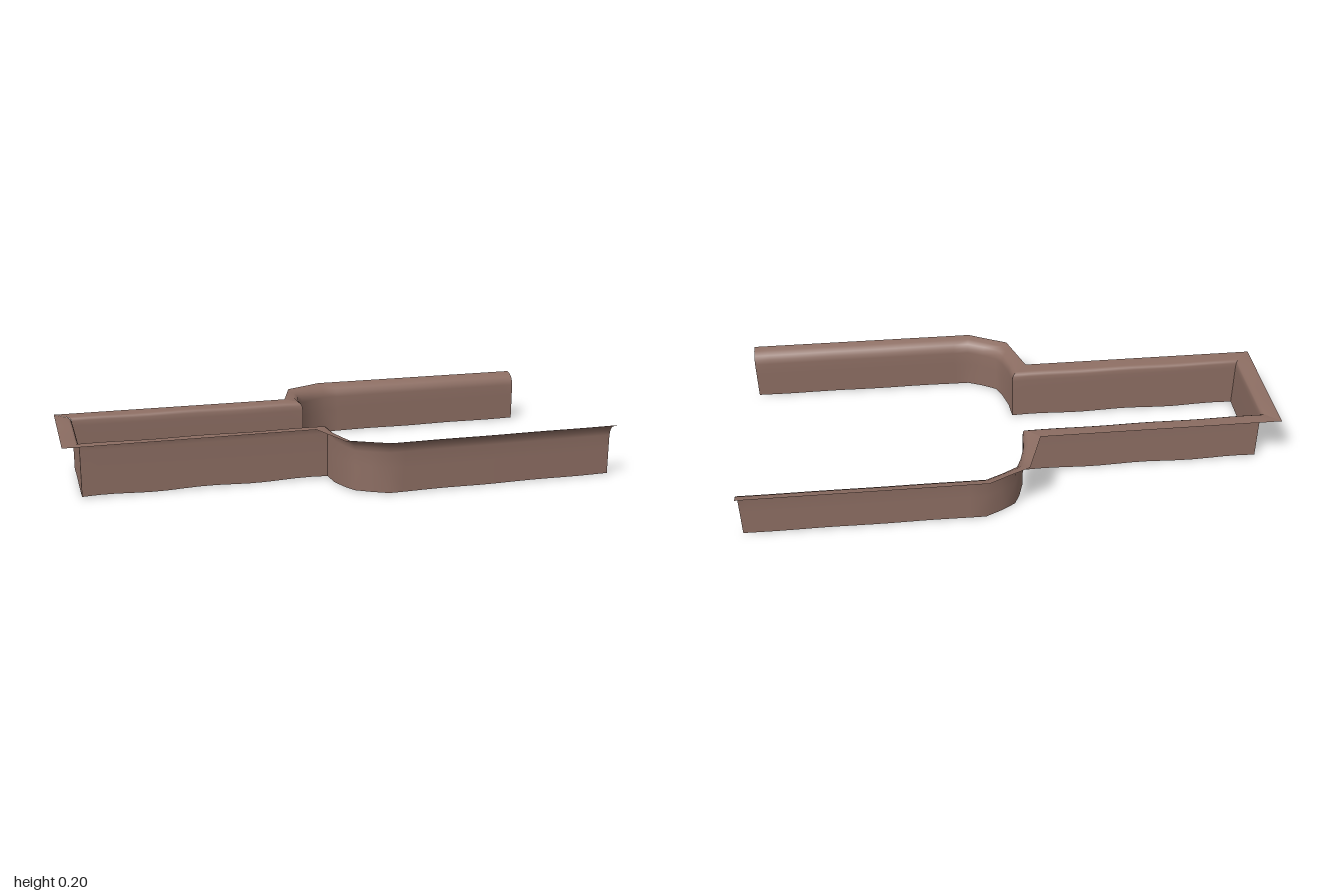
import * as THREE from 'three';

const material = new THREE.MeshStandardMaterial({ color: 0x8d6e63, side: THREE.DoubleSide });

// Wall-to-lip section: [share of lip width, height], soft and tight bends
const soft = [[0, 0.005], [0, 0.1], [0, 0.155], [0.08, 0.173], [0.24, 0.188], [0.55, 0.2], [1, 0.205]];
const tight = [[0, 0.005], [0, 0.1], [0, 0.175], [0.02, 0.192], [0.07, 0.2], [0.2, 0.205], [1, 0.207]];

// Stations are [wall x, wall z, lip x, lip z, softness]; each run is smooth within itself
const endRun = [[-0.937, -0.178, -1, -0.24, 0], [-0.937, 0.178, -1, 0.24, 0]];
const narrowRun = [[-0.937, 0.178, -1, 0.24, 0], [-0.03, 0.178, -0.09, 0.24, 0.2]];
const flareRun = [
  [-0.03, 0.178, -0.09, 0.24, 0.2],
  [-0.023, 0.255, -0.065, 0.313, 0.6],
  [-0.003, 0.325, -0.043, 0.377, 0.8],
  [0.018, 0.37, -0.03, 0.414, 1],
  [0.07, 0.402, 0.045, 0.45, 1],
  [0.13, 0.43, 0.12, 0.488, 1],
  [1, 0.43, 1, 0.488, 1],
];

function skirt(name, run, side = 1) {
  // Subdivide long spans so the edges can undulate slightly
  const stations = [run[0]];
  for (let i = 1; i < run.length; i++) {
    const a = run[i - 1], b = run[i];
    const n = Math.max(1, Math.round(Math.hypot(b[0] - a[0], b[1] - a[1]) / 0.06));
    for (let k = 1; k <= n; k++) {
      stations.push(a.map((v, j) => THREE.MathUtils.lerp(v, b[j], k / n)));
    }
  }
  const positions = [], indices = [], m = soft.length;
  stations.forEach(([wx, wz, lx, lz, s], i) => {
    const wave = 0.003 * Math.sin(wx * 17 + wz * 20) * (1 - 0.7 * s);
    soft.forEach((p, j) => {
      const t = THREE.MathUtils.lerp(tight[j][0], p[0], s);
      const y = THREE.MathUtils.lerp(tight[j][1], p[1], s);
      const ripple = j === 0 ? wave : j === m - 1 ? 0 : j > 2 ? wave * 0.4 : 0;
      positions.push(wx + (lx - wx) * t, y + ripple, side * (wz + (lz - wz) * t));
      if (i && j) {
        const d = i * m + j, c = d - 1, b = d - m, a = b - 1;
        if (side > 0) indices.push(a, b, c, b, d, c);
        else indices.push(a, c, b, b, c, d);
      }
    });
  });
  const geometry = new THREE.BufferGeometry();
  geometry.setAttribute('position', new THREE.Float32BufferAttribute(positions, 3));
  geometry.setIndex(indices);
  geometry.computeVertexNormals();
  const mesh = new THREE.Mesh(geometry, material);
  mesh.name = name;
  return mesh;
}

export function createModel() {
  const model = new THREE.Group();
  model.name = 'channelSkirt';
  model.add(skirt('endWall', endRun));
  // Mirrored side walls
  for (const [label, side] of [['front', 1], ['back', -1]]) {
    model.add(skirt(label + 'NarrowWall', narrowRun, side));
    model.add(skirt(label + 'FlaredWall', flareRun, side));
  }
  return model;
}
